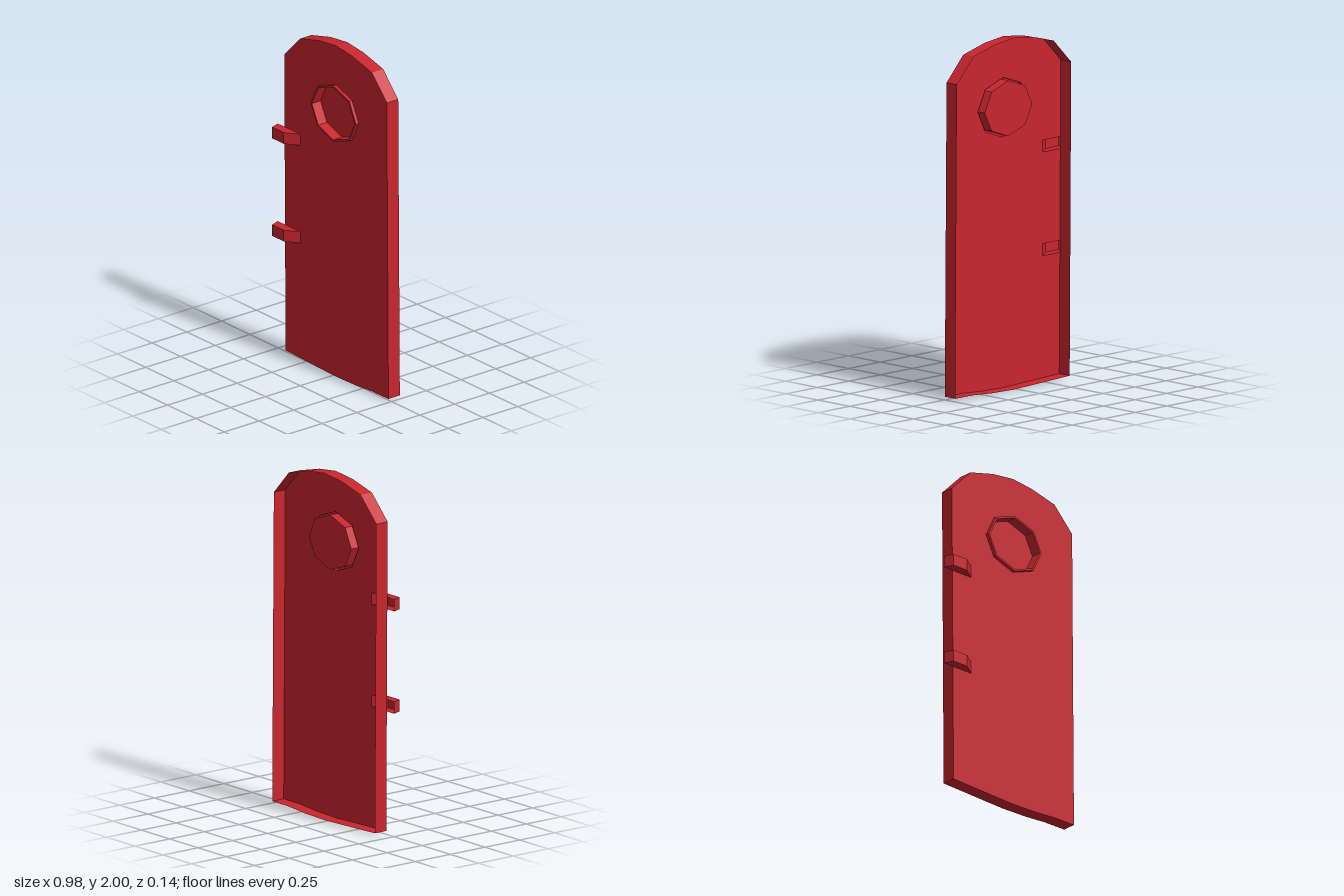
import * as THREE from 'three';

const material = new THREE.MeshStandardMaterial({
  color: 0xc8262e, flatShading: true, side: THREE.DoubleSide,
});

// Depths of the sheet-like door
const FRONT = 0.012, BACK = -0.07;

function add(group, name, geometry) {
  const mesh = new THREE.Mesh(geometry, material);
  mesh.name = name;
  group.add(mesh);
  return mesh;
}

// Closed band joining outline a at depth za to outline b at depth zb (both counter-clockwise)
function band(a, za, b, zb) {
  const pos = [];
  a.forEach((p, i) => {
    const j = (i + 1) % a.length;
    const A = [...p, za], B = [...a[j], za], C = [...b[j], zb], D = [...b[i], zb];
    pos.push(...A, ...D, ...C, ...A, ...C, ...B);
  });
  const g = new THREE.BufferGeometry();
  g.setAttribute('position', new THREE.Float32BufferAttribute(pos, 3));
  g.computeVertexNormals();
  return g;
}

const toVectors = (pts) => pts.map(([x, y]) => new THREE.Vector2(x, y));

function octagon(rx, ry) {
  return Array.from({ length: 8 }, (_, i) => {
    const t = (i * Math.PI) / 4;
    return [0.025 + rx * Math.cos(t), 1.595 + ry * Math.sin(t)];
  });
}

function flat(outline, z, hole) {
  const shape = new THREE.Shape(toVectors(outline));
  if (hole) shape.holes.push(new THREE.Path(toVectors(hole)));
  return new THREE.ShapeGeometry(shape).translate(0, 0, z);
}

// Hinge strap: a bent strip with closed top and bottom, open at the back
function hinge(y0, y1) {
  const group = new THREE.Group();
  const profile = [[-0.49, FRONT], [-0.47, 0.068], [-0.368, 0.068], [-0.288, FRONT]];
  const pos = [];
  for (let i = 0; i < 3; i++) {
    const [x0, z0] = profile[i], [x1, z1] = profile[i + 1];
    pos.push(x0, y0, z0, x1, y0, z1, x1, y1, z1, x0, y0, z0, x1, y1, z1, x0, y1, z0);
  }
  const strip = new THREE.BufferGeometry();
  strip.setAttribute('position', new THREE.Float32BufferAttribute(pos, 3));
  strip.computeVertexNormals();
  add(group, 'hingeStrap', strip);
  // Shape y becomes -z when laid flat, so z is negated first
  const cap = new THREE.ShapeGeometry(new THREE.Shape(toVectors(profile.map(([x, z]) => [x, -z]))));
  cap.rotateX(-Math.PI / 2);
  add(group, 'hingeTop', cap.clone().translate(0, y1, 0));
  add(group, 'hingeBottom', cap.scale(1, -1, 1).translate(0, y0, 0));
  return group;
}

export function createModel() {
  const door = new THREE.Group();
  door.name = 'door';

  // Door outline, counter-clockwise from the lower left corner
  const outline = [
    [-0.42, 0.015], [-0.1, 0.004], [0.025, 0], [0.2, 0.004], [0.34, 0.014], [0.487, 0.015],
    [0.473, 1.8], [0.34, 1.94], [0.17, 1.983], [0.025, 2], [-0.125, 1.983], [-0.293, 1.94],
    [-0.432, 1.8],
  ];
  const hinges = [[1.295, 1.363], [0.705, 0.773]];

  // Front sheet, notched behind the hinges and pierced for the window
  const edgeX = (y) => -0.42 - (0.012 * (y - 0.015)) / 1.785;
  const notched = [...outline];
  for (const [y0, y1] of hinges) {
    notched.push([edgeX(y1), y1], [-0.288, y1], [-0.288, y0], [edgeX(y0), y0]);
  }
  const outer = octagon(0.2, 0.17), inner = octagon(0.188, 0.158);
  add(door, 'doorPanel', flat(notched, FRONT, outer));

  // Rim folded backwards around the edge
  add(door, 'doorRim', band(outline, FRONT, outline, BACK));

  // Window: raised ring with a pane sunk into it
  const porthole = new THREE.Group();
  porthole.name = 'window';
  add(porthole, 'windowRingSide', band(outer, 0.032, outer, FRONT));
  add(porthole, 'windowRingFace', flat(outer, 0.032, inner));
  add(porthole, 'windowRecess', band(inner, 0.032, inner, -0.03));
  add(porthole, 'windowPane', flat(inner, -0.03));
  door.add(porthole);

  hinges.forEach(([y0, y1], i) => {
    const h = hinge(y0, y1);
    h.name = i === 0 ? 'upperHinge' : 'lowerHinge';
    door.add(h);
  });
  return door;
}
